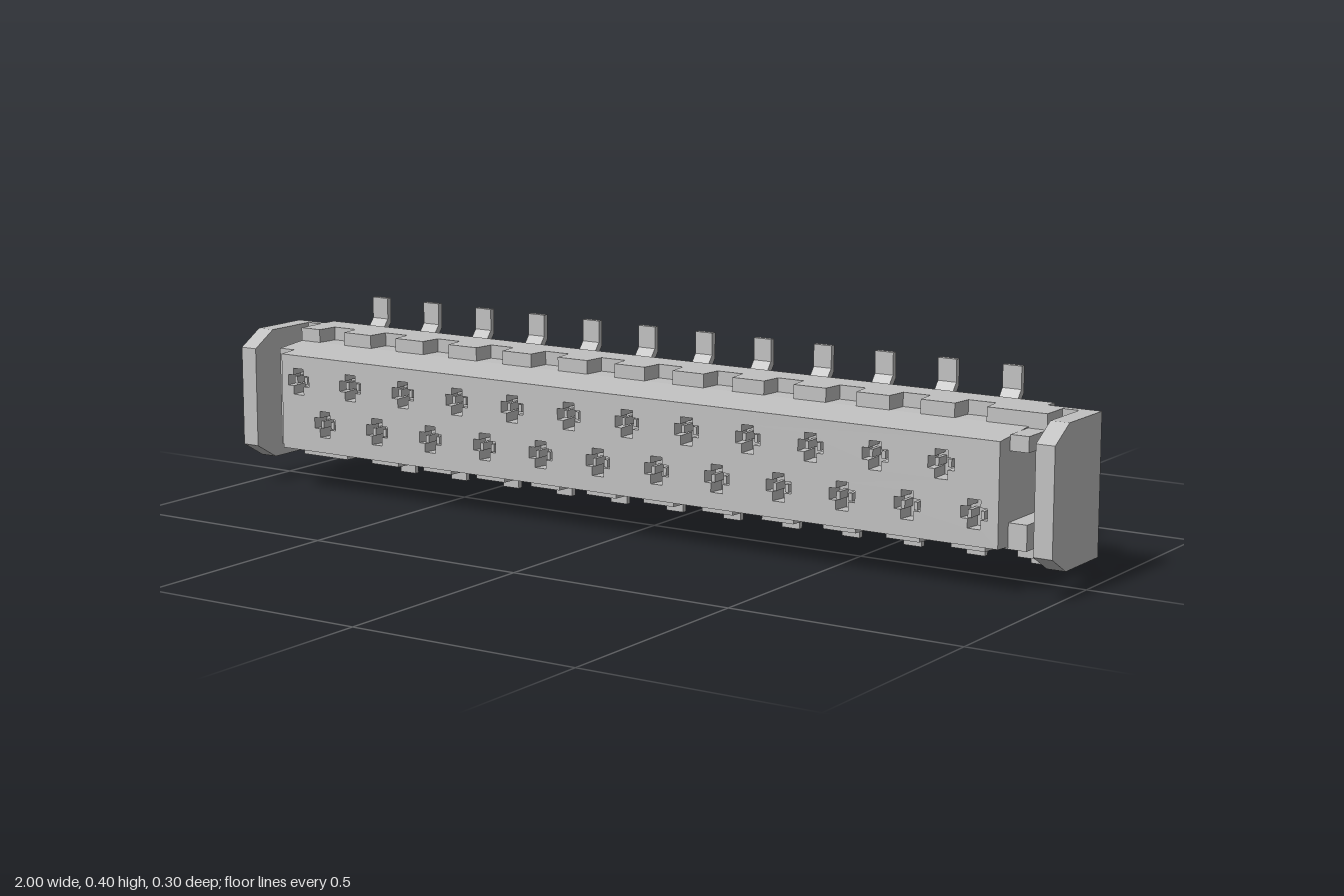
import * as THREE from 'three';

const grey = new THREE.MeshStandardMaterial({ color: 0xc0c0c0 });
grey.name = 'lightGrey';

const MID = 0.2; // height of the mirror plane between the two pin rows
const PITCH = 0.1453;
const COUNT = 12;
const topXs = Array.from({ length: COUNT }, (_, i) => -0.838 + i * PITCH);
const bottomXs = topXs.map((x) => x + PITCH / 2);

const toShape = (pts) => new THREE.Shape(pts.map(([a, b]) => new THREE.Vector2(a, b)));
const extrude = (shape, depth) => new THREE.ExtrudeGeometry(shape, { depth, bevelEnabled: false });

// Profile given as [z, y], swept from x0 to x1
function alongX(pts, x0, x1) {
  return extrude(toShape(pts.map(([z, y]) => [-z, y])), x1 - x0).rotateY(Math.PI / 2).translate(x0, 0, 0);
}
// Outline given as [x, z], swept from y0 to y1
function alongY(pts, y0, y1) {
  return extrude(toShape(pts.map(([x, z]) => [x, -z])), y1 - y0).rotateX(-Math.PI / 2).translate(0, y0, 0);
}
function boxGeo(x0, x1, y0, y1, z0, z1) {
  return new THREE.BoxGeometry(x1 - x0, y1 - y0, z1 - z0)
    .translate((x0 + x1) / 2, (y0 + y1) / 2, (z0 + z1) / 2);
}

export function createModel() {
  const group = new THREE.Group();
  const add = (name, geo) => {
    const m = new THREE.Mesh(geo, grey);
    m.name = name;
    group.add(m);
    return m;
  };

  // Housing core with gently tapered top and bottom
  add('housingCore', alongX([
    [-0.077, 0.085], [0.035, 0.085], [0.11, 0.092],
    [0.11, 0.308], [0.035, 0.315], [-0.077, 0.315],
  ], -0.925, 0.885));

  // Shoulders above and below the side recess
  add('upperShoulder', boxGeo(0.885, 0.925, 0.28, 0.312, -0.04, 0.11));
  add('lowerShoulder', boxGeo(0.885, 0.925, 0.088, 0.14, -0.04, 0.11));

  // Front face with cross-shaped sockets
  const face = toShape([[-0.885, 0.095], [0.885, 0.095], [0.885, 0.305], [-0.885, 0.305]]);
  const sockets = [...topXs.map((x) => [x, 0.247, 1]), ...bottomXs.map((x) => [x, 0.158, -1])];
  for (const [x, y, s] of sockets) {
    const a = 0.014, b = 0.029;
    face.holes.push(new THREE.Path([
      [-a, -b], [a, -b], [a, -a + 0.004], [b, -a + 0.004], [b, a], [a, a],
      [a, b], [-a, b], [-a, a], [-b, a], [-b, -a + 0.004], [-a, -a + 0.004],
    ].map(([u, v]) => new THREE.Vector2(x + u, y + v))));
    // Paired contact blades inside each socket
    for (const side of [-1, 1]) {
      const cx = x + side * 0.014;
      add('socketContact', boxGeo(cx - 0.004, cx + 0.004, y - 0.008 + s * 0.002, y + 0.008 + s * 0.002, 0.108, 0.143));
    }
  }
  const faceGeo = extrude(face, 0.042).translate(0, 0, 0.11);
  const p = faceGeo.attributes.position;
  for (let i = 0; i < p.count; i++) {
    if (p.getZ(i) < 0.12) p.setY(i, MID + (p.getY(i) - MID) * 1.029);
  }
  faceGeo.computeVertexNormals();
  add('socketFace', faceGeo);

  // Notched rims along the top and bottom of the rear half
  const rim = (xs) => {
    const pts = [[-0.925, -0.077], [-0.925, 0.035]];
    for (const x of xs) pts.push([x - 0.035, 0.035], [x - 0.03, -0.012], [x + 0.03, -0.012], [x + 0.035, 0.035]);
    pts.push([0.925, 0.035], [0.925, -0.047], [0.885, -0.047], [0.885, -0.077]);
    return pts;
  };
  add('topRim', alongY(rim(topXs), 0.31, 0.344));
  add('bottomRim', alongY(rim(bottomXs), 0.056, 0.09));

  // Chamfered end plates
  const plate = [
    [-0.047, 0.056], [0.093, 0.056], [0.152, 0.09],
    [0.152, 0.309], [0.093, 0.344], [-0.047, 0.344],
  ];
  add('leftEndPlate', alongX(plate, 0.96, 1));
  add('rightEndPlate', alongX(plate, -1, -0.96));

  // Webs that join the end plates to the housing, one with a window
  const web = toShape([[0.885, 0.056], [0.965, 0.056], [0.965, 0.344], [0.885, 0.344]]);
  web.holes.push(new THREE.Path([[0.893, 0.14], [0.94, 0.14], [0.94, 0.2], [0.893, 0.2]]
    .map(([x, y]) => new THREE.Vector2(x, y))));
  add('leftWeb', extrude(web, 0.017).translate(0, 0, -0.047));
  add('rightWeb', boxGeo(-0.965, -0.92, 0.056, 0.344, -0.047, -0.03));

  // Rear ribs between neighbouring pins
  for (let i = 0; i < 2 * COUNT - 1; i++) {
    const x = topXs[0] + (i + 0.5) * PITCH / 2;
    add('rearRib', boxGeo(x - 0.014, x + 0.014, 0.15, 0.25, -0.135, -0.07));
  }

  // Rear boss and open bracket at the two ends
  add('rearBoss', boxGeo(0.835, 0.883, 0.15, 0.25, -0.135, -0.07));
  add('bracketBase', boxGeo(-0.925, -0.865, 0.15, 0.25, -0.1, -0.07));
  add('bracketBar', boxGeo(-0.95, -0.925, 0.15, 0.25, -0.12, -0.04));
  add('bracketUpperArm', boxGeo(-1, -0.865, 0.25, 0.284, -0.135, -0.04));
  add('bracketLowerArm', boxGeo(-1, -0.865, 0.116, 0.15, -0.135, -0.04));

  // Bent solder pins, upper row rising and lower row falling
  const bend = [
    [-0.06, 0.266], [-0.089, 0.266], [-0.15, 0.342], [-0.15, 0.397],
    [-0.138, 0.397], [-0.138, 0.35], [-0.083, 0.281], [-0.06, 0.281],
  ];
  const mirrored = bend.map(([z, y]) => [z, 0.398 - y]);
  for (const x of topXs) add('upperPin', alongX(bend, x - 0.021, x + 0.021));
  for (const x of bottomXs) add('lowerPin', alongX(mirrored, x - 0.021, x + 0.021));

  return group;
}
